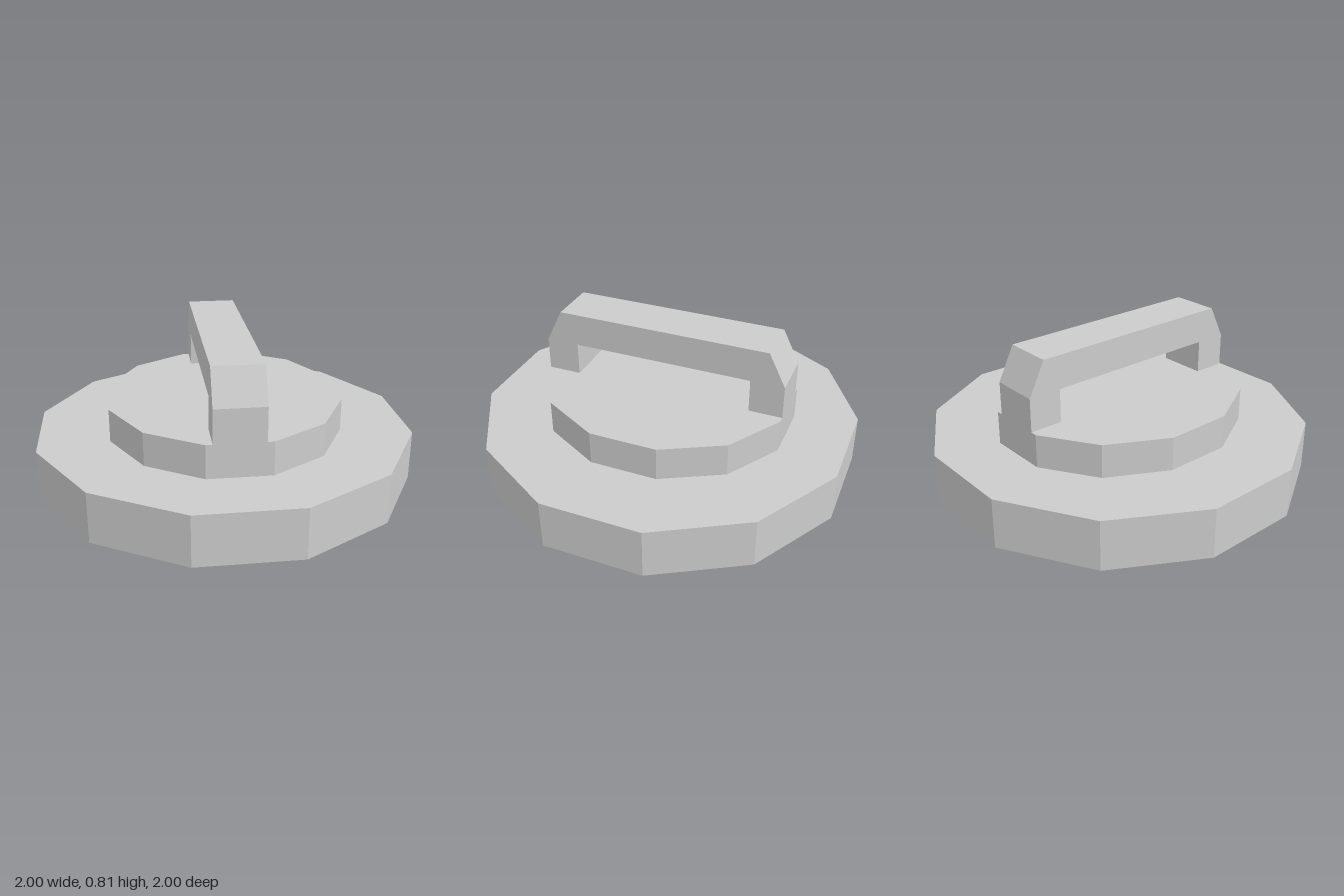
import * as THREE from 'three';

const material = new THREE.MeshStandardMaterial({ color: 0xcccccc, flatShading: true });

// Twelve-sided disc with flat sides facing the axes, given its half width, half depth and height range
function disc(name, halfX, halfZ, y0, y1) {
  const k = 1 / Math.cos(Math.PI / 12);
  const geometry = new THREE.CylinderGeometry(k, k, y1 - y0, 12, 1, false, Math.PI / 12);
  geometry.scale(halfX, 1, halfZ);
  geometry.translate(0, (y0 + y1) / 2, 0);
  const mesh = new THREE.Mesh(geometry, material);
  mesh.name = name;
  return mesh;
}

// Arched grip with chamfered upper corners, running front to back
function handle() {
  const width = 0.264;
  const half = [[0.49, 0.63], [0.49, 0.45], [0.67, 0.45], [0.67, 0.63], [0.58, 0.81]];
  const mirrored = half.map(([z, y]) => [-z, y]).reverse();
  const shape = new THREE.Shape([...half, ...mirrored].map(([z, y]) => new THREE.Vector2(z, y)));
  const geometry = new THREE.ExtrudeGeometry(shape, { depth: width, bevelEnabled: false });
  geometry.translate(0, 0, -width / 2);
  geometry.rotateY(-Math.PI / 2);
  const mesh = new THREE.Mesh(geometry, material);
  mesh.name = 'handle';
  return mesh;
}

export function createModel() {
  const group = new THREE.Group();
  group.name = 'lidWithHandle';
  group.add(
    disc('baseDisc', 1, 1, 0, 0.27),
    disc('raisedDisc', 0.622, 0.67, 0.27, 0.45),
    handle(),
  );
  return group;
}
